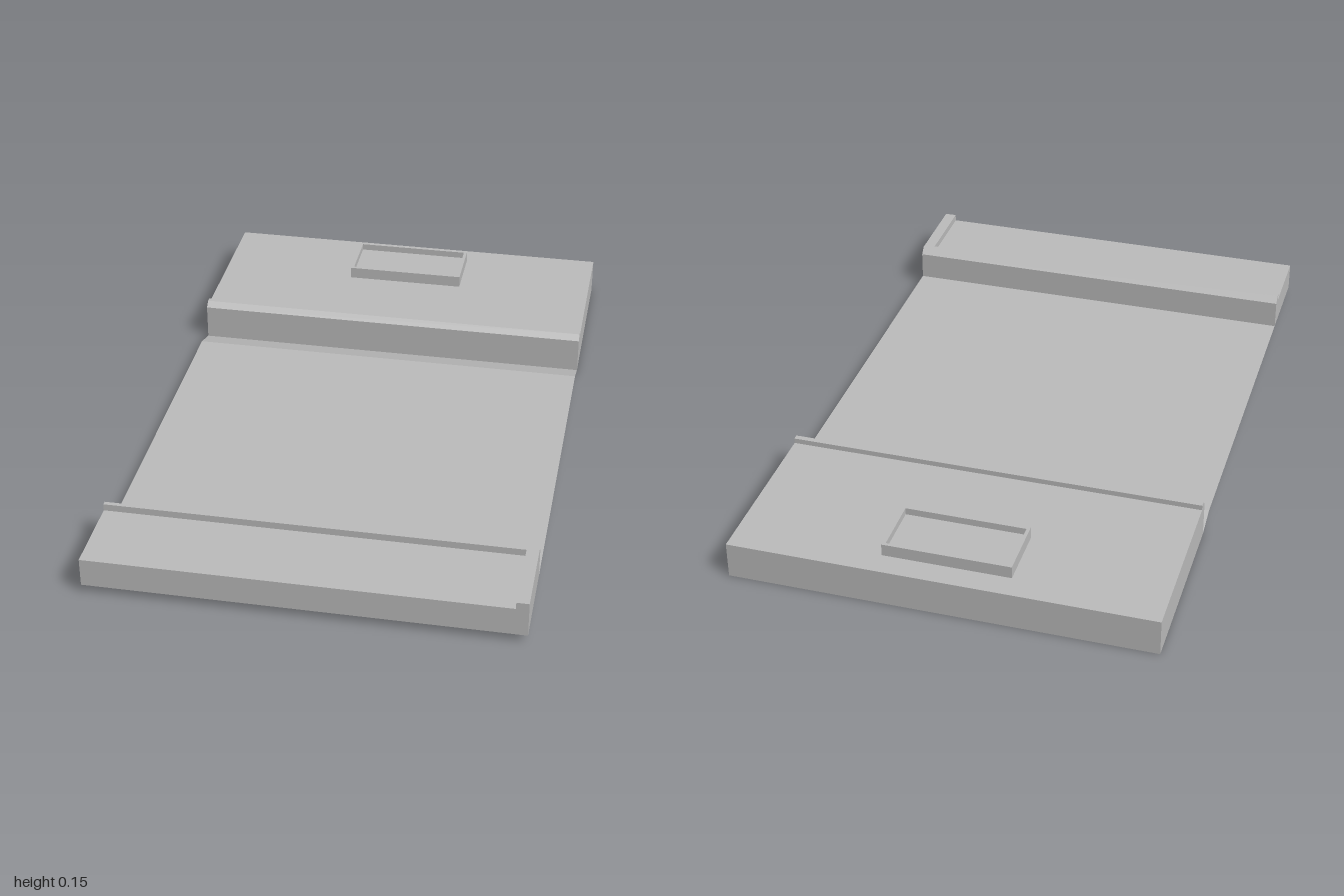
import * as THREE from 'three';

const W = 0.626; // half width
const grey = new THREE.MeshStandardMaterial({ color: 0xbcbcbc, side: THREE.DoubleSide });
grey.name = 'concreteGrey';

function part(name, geometry) {
  const mesh = new THREE.Mesh(geometry, grey);
  mesh.name = name;
  return mesh;
}

// Open sheet swept across the full width along a [z, y] profile
function sheet(profile) {
  const p = [];
  for (let i = 0; i < profile.length - 1; i++) {
    const [az, ay] = profile[i], [bz, by] = profile[i + 1];
    p.push(-W, ay, az, W, ay, az, W, by, bz, -W, ay, az, W, by, bz, -W, by, bz);
  }
  const g = new THREE.BufferGeometry();
  g.setAttribute('position', new THREE.Float32BufferAttribute(p, 3));
  g.computeVertexNormals();
  return g;
}

// Flat side wall with the outline of a [z, y] profile; side is +1 or -1
function sideWall(profile, side) {
  const shape = new THREE.Shape(profile.map(([z, y]) => new THREE.Vector2(-side * z, y)));
  return new THREE.ShapeGeometry(shape).rotateY(side * Math.PI / 2).translate(side * W, 0, 0);
}

// Rectangle in the ground plane, drawn as (x, -z)
function rect(Kind, x, z0, z1) {
  return new Kind([[-x, -z1], [x, -z1], [x, -z0], [-x, -z0]].map(([a, b]) => new THREE.Vector2(a, b)));
}

function flat(shape, y) {
  return new THREE.ShapeGeometry(shape).rotateX(-Math.PI / 2).translate(0, y, 0);
}

export function createModel() {
  const model = new THREE.Group();
  model.name = 'channelSection';

  // Thin floor, running under the front ledge and dipping to the rear platform
  model.add(part('floor', sheet([[1, 0.026], [-0.36, 0.026]])));
  model.add(part('floorRamp', sheet([[-0.36, 0.026], [-0.443, 0]])));

  // Front ledge with a bevelled kerb and a raised end rail
  const ledge = [[1, 0.026], [1, 0.112], [0.759, 0.112], [0.759, 0.133], [0.746, 0.133], [0.727, 0.113], [0.727, 0.026]];
  const front = new THREE.Group();
  front.name = 'frontLedge';
  front.add(part('ledgeShell', sheet(ledge)));
  const rail = new THREE.BoxGeometry(0.036, 0.021, 0.241);
  rail.translate(W - 0.018, 0.1225, 0.8795);
  front.add(part('endRail', rail));

  // Rear platform, hollow and open below
  const kerb = [[-0.443, 0], [-0.443, 0.11], [-0.461, 0.126], [-0.478, 0.126], [-0.478, 0.11]];
  const backWall = [[-1, 0.11], [-1, 0]];
  const rear = new THREE.Group();
  rear.name = 'rearPlatform';
  rear.add(part('platformKerb', sheet(kerb)));
  rear.add(part('platformBack', sheet(backWall)));
  const top = rect(THREE.Shape, W, -1, -0.478);
  top.holes.push(rect(THREE.Path, 0.189, -0.927, -0.738));
  rear.add(part('platformTop', flat(top, 0.11)));

  for (const side of [1, -1]) {
    const label = side > 0 ? 'left' : 'right';
    front.add(part(label + 'LedgeEnd', sideWall(ledge, side)));
    rear.add(part(label + 'PlatformEnd', sideWall([...kerb, ...backWall], side)));
  }

  // Raised rim around a sunken panel
  const rim = rect(THREE.Shape, 0.189, -0.927, -0.738);
  rim.holes.push(rect(THREE.Path, 0.179, -0.917, -0.748));
  const rimGeometry = new THREE.ExtrudeGeometry(rim, { depth: 0.037, bevelEnabled: false });
  rear.add(part('panelRim', rimGeometry.rotateX(-Math.PI / 2).translate(0, 0.11, 0)));
  rear.add(part('sunkenPanel', flat(rect(THREE.Shape, 0.179, -0.917, -0.748), 0.126)));

  model.add(front, rear);
  return model;
}
